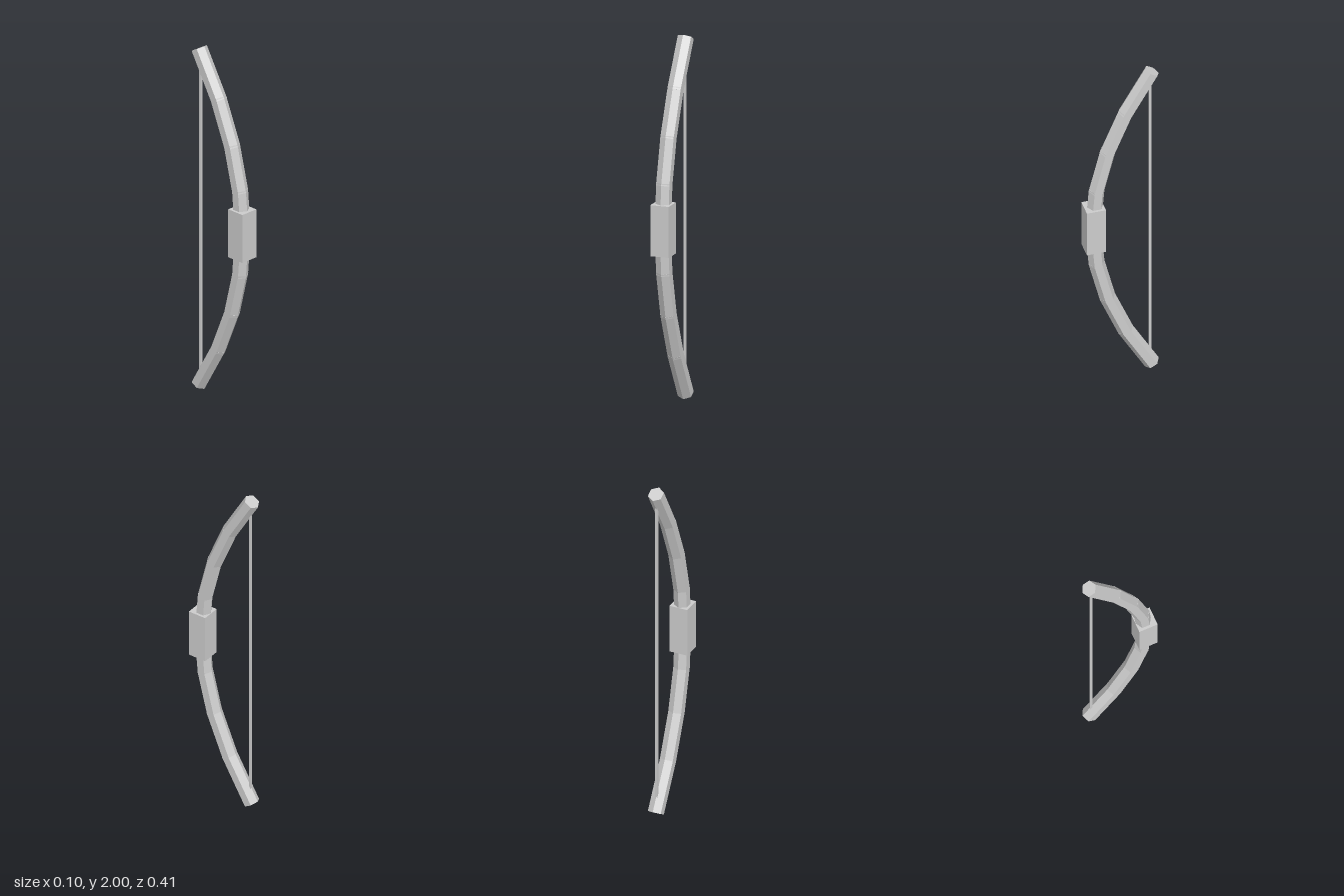
import * as THREE from 'three';

export function createModel() {
  const bow = new THREE.Group();
  bow.name = 'bow';
  const grey = new THREE.MeshStandardMaterial({ color: 0xcccccc });
  grey.name = 'light grey';
  grey.flatShading = true;

  const add = (name, geometry, y, z) => {
    const mesh = new THREE.Mesh(geometry, grey);
    mesh.name = name;
    mesh.position.set(0, y, z);
    bow.add(mesh);
    return mesh;
  };

  // Limbs: straight hexagonal segments along a parabola, slightly overlapping
  const segments = 8, overlap = 0.009;
  const point = (i) => {
    const t = (2 * i) / segments - 1;
    return new THREE.Vector3(0, 1 + 0.97 * t, 0.158 - 0.322 * t * t);
  };
  for (let i = 0; i < segments; i++) {
    const a = point(i), b = point(i + 1);
    const length = a.distanceTo(b) + 2 * overlap;
    const limb = add(i < segments / 2 ? 'lowerLimbSegment' : 'upperLimbSegment',
      new THREE.CylinderGeometry(0.044, 0.044, length, 6), (a.y + b.y) / 2, (a.z + b.z) / 2);
    limb.rotation.x = Math.atan2(b.z - a.z, b.y - a.y);
  }

  // Square grip block
  add('grip', new THREE.BoxGeometry(0.105, 0.28, 0.106), 1, 0.154);

  // String, its ends buried in the limb tips
  add('string', new THREE.BoxGeometry(0.012, 1.91, 0.012), 1, -0.158);

  return bow;
}
